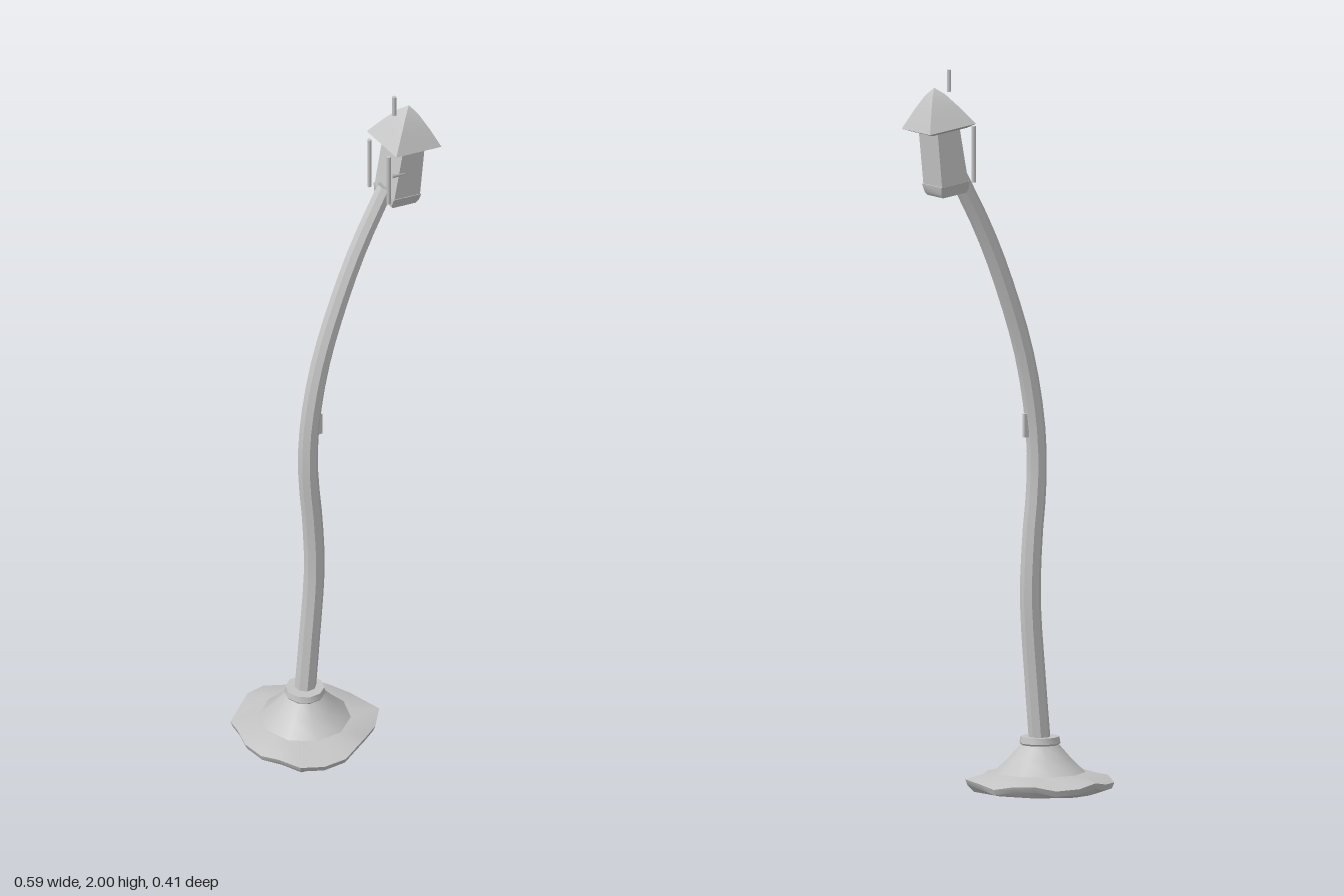
import * as THREE from 'three';
import { toCreasedNormals } from 'three/addons/utils/BufferGeometryUtils.js';

const grey = new THREE.MeshStandardMaterial({ color: 0xc4c4c4 });
grey.name = 'grey metal';

function part(name, geometry, x = 0, y = 0, z = 0) {
  const mesh = new THREE.Mesh(geometry, grey);
  mesh.name = name;
  mesh.position.set(x, y, z);
  return mesh;
}

// Closed skin over rings of Vector3, listed from bottom to top
function loft(rings, crease = 0.66) {
  const n = rings[0].length;
  const points = rings.flat();
  const index = [];
  for (let i = 0; i < rings.length - 1; i++) {
    for (let j = 0; j < n; j++) {
      const a = i * n + j, b = i * n + (j + 1) % n;
      index.push(a, a + n, b + n, a, b + n, b);
    }
  }
  const middle = (ring) => ring.reduce((s, p) => s.add(p), new THREE.Vector3()).divideScalar(n);
  const low = points.length, high = low + 1, last = (rings.length - 1) * n;
  points.push(middle(rings[0]), middle(rings[rings.length - 1]));
  for (let j = 0; j < n; j++) {
    const k = (j + 1) % n;
    index.push(low, j, k, high, last + k, last + j);
  }
  const geometry = new THREE.BufferGeometry().setFromPoints(points);
  geometry.setIndex(index);
  return toCreasedNormals(geometry, crease);
}

const round = (n, radius, height) => Array.from({ length: n }, (_, j) => {
  const a = (j / n) * Math.PI * 2, r = radius(j);
  return new THREE.Vector3(Math.cos(a) * r, height(j), Math.sin(a) * r);
});

// Rectangular tower from [y, half width, half depth]
const tower = (levels) => loft(levels.map(([y, w, d]) => [
  new THREE.Vector3(w, y, -d), new THREE.Vector3(w, y, d),
  new THREE.Vector3(-w, y, d), new THREE.Vector3(-w, y, -d),
]));

function makeBase() {
  const base = new THREE.Group();
  base.name = 'base';
  // Uneven plate with a flared foot rising from it
  const rim = [0.19, 0.209, 0.192, 0.178, 0.188, 0.205, 0.207, 0.223, 0.196, 0.19,
    0.194, 0.19, 0.203, 0.194, 0.2, 0.207, 0.192, 0.196, 0.185, 0.193];
  const wave = (j) => 0.028 + 0.008 * Math.sin(j * 1.9);
  const decagon = (r) => (j) => r * (j % 2 ? Math.cos(Math.PI / 10) : 1);
  base.add(part('plate', loft([
    round(20, (j) => rim[j] * 0.88, () => 0),
    round(20, (j) => rim[j] * 0.97, (j) => wave(j) - 0.016),
    round(20, (j) => rim[j], wave),
    round(20, decagon(0.127), () => 0.05),
  ])));
  base.add(part('flaredFoot', loft([
    round(10, () => 0.127, () => 0.048),
    round(10, () => 0.085, () => 0.088),
    round(10, () => 0.05, () => 0.128),
  ])));
  base.add(part('collar', loft([
    round(10, () => 0.05, () => 0.122),
    round(10, () => 0.056, () => 0.13),
    round(10, () => 0.053, () => 0.147),
    round(10, () => 0.044, () => 0.147),
  ])));
  base.position.x = -0.1;
  return base;
}

// Bent octagonal pole, slimmer toward the top
function makePole() {
  const curve = new THREE.CatmullRomCurve3([
    [-0.1, 0.1], [-0.083, 0.3], [-0.067, 0.53], [-0.074, 0.7], [-0.087, 0.85],
    [-0.083, 1.0], [-0.048, 1.2], [0.017, 1.4], [0.08, 1.55], [0.165, 1.71],
  ].map(([x, y]) => new THREE.Vector3(x, y, 0)));
  const rings = [];
  for (let i = 0; i <= 24; i++) {
    const u = i / 24, p = curve.getPointAt(u), t = curve.getTangentAt(u);
    const r = 0.03 - 0.005 * u;
    rings.push(Array.from({ length: 8 }, (_, j) => {
      const a = ((j + 0.5) / 8) * Math.PI * 2, c = Math.cos(a) * r;
      return new THREE.Vector3(p.x + t.y * c, p.y - t.x * c, Math.sin(a) * r);
    }));
  }
  return part('pole', loft(rings));
}

function makeLantern() {
  const lantern = new THREE.Group();
  lantern.name = 'lantern';
  lantern.add(part('lanternFloor', tower([[0, 0.038, 0.041], [0.01, 0.044, 0.044], [0.032, 0.045, 0.051]])));
  lantern.add(part('lanternBody', tower([[0.03, 0.042, 0.049], [0.19, 0.035, 0.05]])));
  lantern.add(part('roof', tower([
    [0.18, 0.056, 0.056], [0.189, 0.074, 0.074], [0.237, 0.046, 0.046],
    [0.277, 0.02, 0.02], [0.296, 0.001, 0.001],
  ])));
  lantern.position.set(0.198, 1.66, 0);
  lantern.rotation.z = -0.14;
  return lantern;
}

export function createModel() {
  const model = new THREE.Group();
  model.name = 'streetLamp';
  model.add(makeBase());

  const upper = new THREE.Group();
  upper.name = 'upperParts';
  upper.position.z = -0.004;
  upper.add(makePole(), makeLantern());

  // Thin rods beside the lantern and a finial above it
  for (const side of [-1, 1]) {
    upper.add(part('sideRod', new THREE.CylinderGeometry(0.006, 0.006, 0.155, 6), 0.143, 1.77, side * 0.048));
  }
  upper.add(part('finial', new THREE.CylinderGeometry(0.006, 0.006, 0.06, 8), 0.192, 1.97, 0));

  // Small pointed catch on the front face
  const pin = part('catch', new THREE.ConeGeometry(0.006, 0.06, 6), 0.18, 1.775, 0.051);
  pin.rotation.z = -Math.PI / 2 - 0.2;
  upper.add(pin);

  // Narrow cover on the pole
  upper.add(part('poleCover', new THREE.BoxGeometry(0.014, 0.065, 0.012), -0.052, 1.005, 0));
  model.add(upper);
  return model;
}
